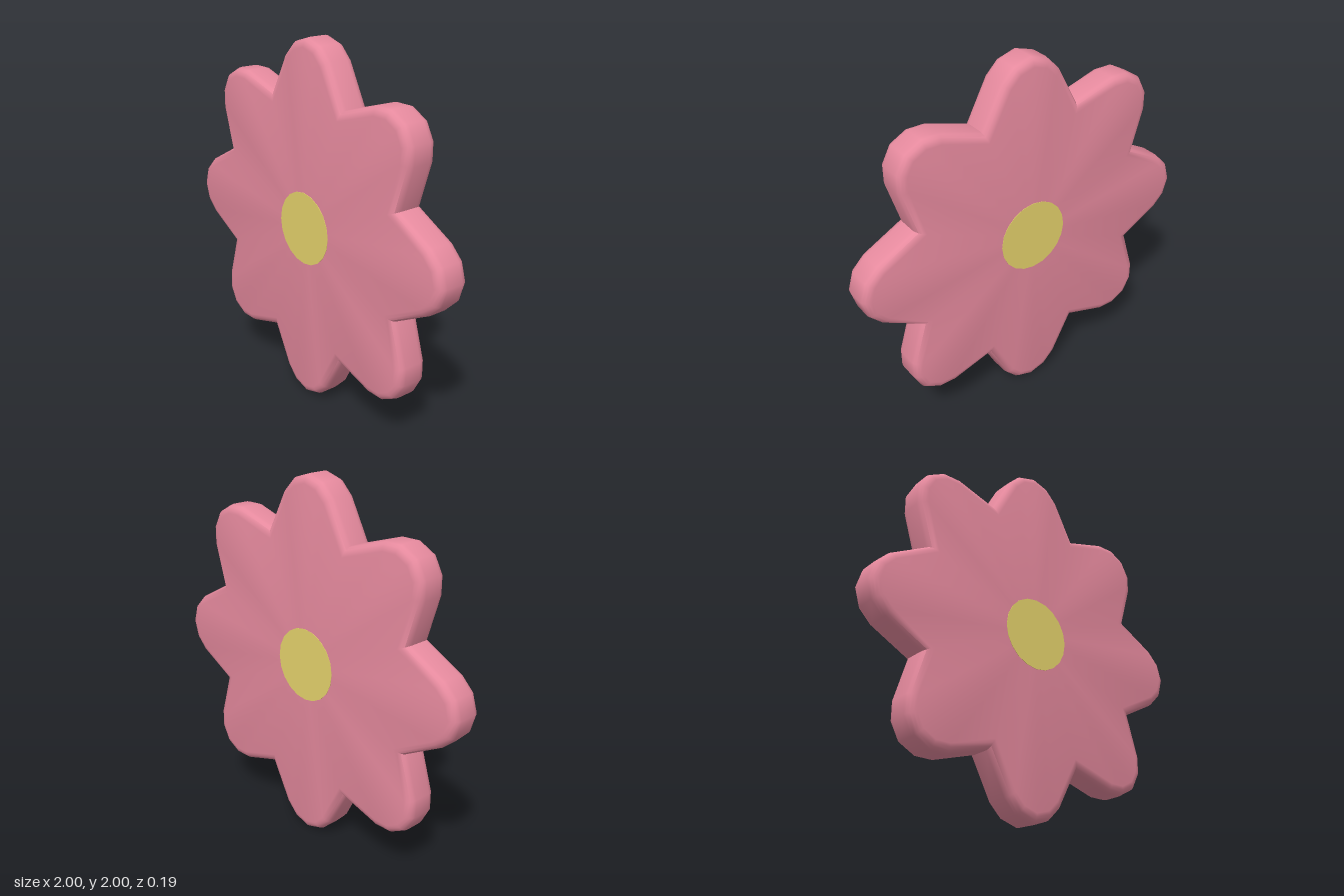
import * as THREE from 'three';
import { toCreasedNormals } from 'three/addons/utils/BufferGeometryUtils.js';

const PETALS = 8, HALF = 0.093, BEVEL = 0.045, BEVEL_STEPS = 4;

// Counter-clockwise outline: each petal runs from a valley over its rounded tip.
function flowerOutline() {
  const petal = [[0.284, 0.686], [0.17, 0.9], [0.1, 0.97], [0, 1], [-0.1, 0.97], [-0.17, 0.9]];
  const points = [];
  for (let i = 0; i < PETALS; i++) {
    for (const [x, y] of petal) {
      points.push(new THREE.Vector2(x, y).rotateAround(new THREE.Vector2(), i * 2 * Math.PI / PETALS));
    }
  }
  return points;
}

// Moves every outline edge inward by the same distance.
function inset(points, distance) {
  const n = points.length;
  const edgeNormal = (a, b) => new THREE.Vector2(a.y - b.y, b.x - a.x).normalize();
  return points.map((p, i) => {
    const n1 = edgeNormal(points[(i + n - 1) % n], p);
    const n2 = edgeNormal(p, points[(i + 1) % n]);
    const mitre = n1.clone().add(n2);
    return p.clone().addScaledVector(mitre, distance / (1 + n1.dot(n2)));
  });
}

function petalGeometry() {
  const outline = flowerOutline();
  const n = outline.length;

  // Rings from the front centre, round the bevelled rim, to the back centre
  const rings = [{ points: outline.map(() => new THREE.Vector2()), z: HALF }];
  for (const side of [1, -1]) {
    for (let k = 0; k <= BEVEL_STEPS; k++) {
      const t = (side > 0 ? k : BEVEL_STEPS - k) / BEVEL_STEPS * Math.PI / 2;
      rings.push({
        points: inset(outline, BEVEL * (1 - Math.sin(t))),
        z: side * (HALF - BEVEL + BEVEL * Math.cos(t)),
      });
    }
  }
  rings.push({ points: rings[0].points, z: -HALF });

  const positions = [];
  const add = (r, j) => positions.push(rings[r].points[j % n].x, rings[r].points[j % n].y, rings[r].z);
  for (let r = 0; r < rings.length - 1; r++) {
    for (let j = 0; j < n; j++) {
      if (r < rings.length - 2) { add(r, j); add(r + 1, j); add(r + 1, j + 1); }
      if (r > 0) { add(r, j); add(r + 1, j + 1); add(r, j + 1); }
    }
  }
  const geometry = new THREE.BufferGeometry();
  geometry.setAttribute('position', new THREE.Float32BufferAttribute(positions, 3));
  return toCreasedNormals(geometry, 0.8);
}

export function createModel() {
  const pink = new THREE.MeshStandardMaterial({ color: 0xe68a9e });
  pink.name = 'petal pink';
  const yellow = new THREE.MeshStandardMaterial({ color: 0xe6d36c });
  yellow.name = 'centre yellow';

  const flower = new THREE.Group();
  flower.name = 'flower';

  const petals = new THREE.Mesh(petalGeometry(), pink);
  petals.name = 'petals';
  petals.position.y = 1;
  flower.add(petals);

  // Thin round centre plates on the front and back
  for (const side of [1, -1]) {
    const centre = new THREE.Mesh(new THREE.CylinderGeometry(0.2, 0.2, 0.004, 20), yellow);
    centre.name = side > 0 ? 'frontCentre' : 'backCentre';
    centre.rotation.x = Math.PI / 2;
    centre.position.set(0, 1, side * HALF);
    flower.add(centre);
  }
  return flower;
}
